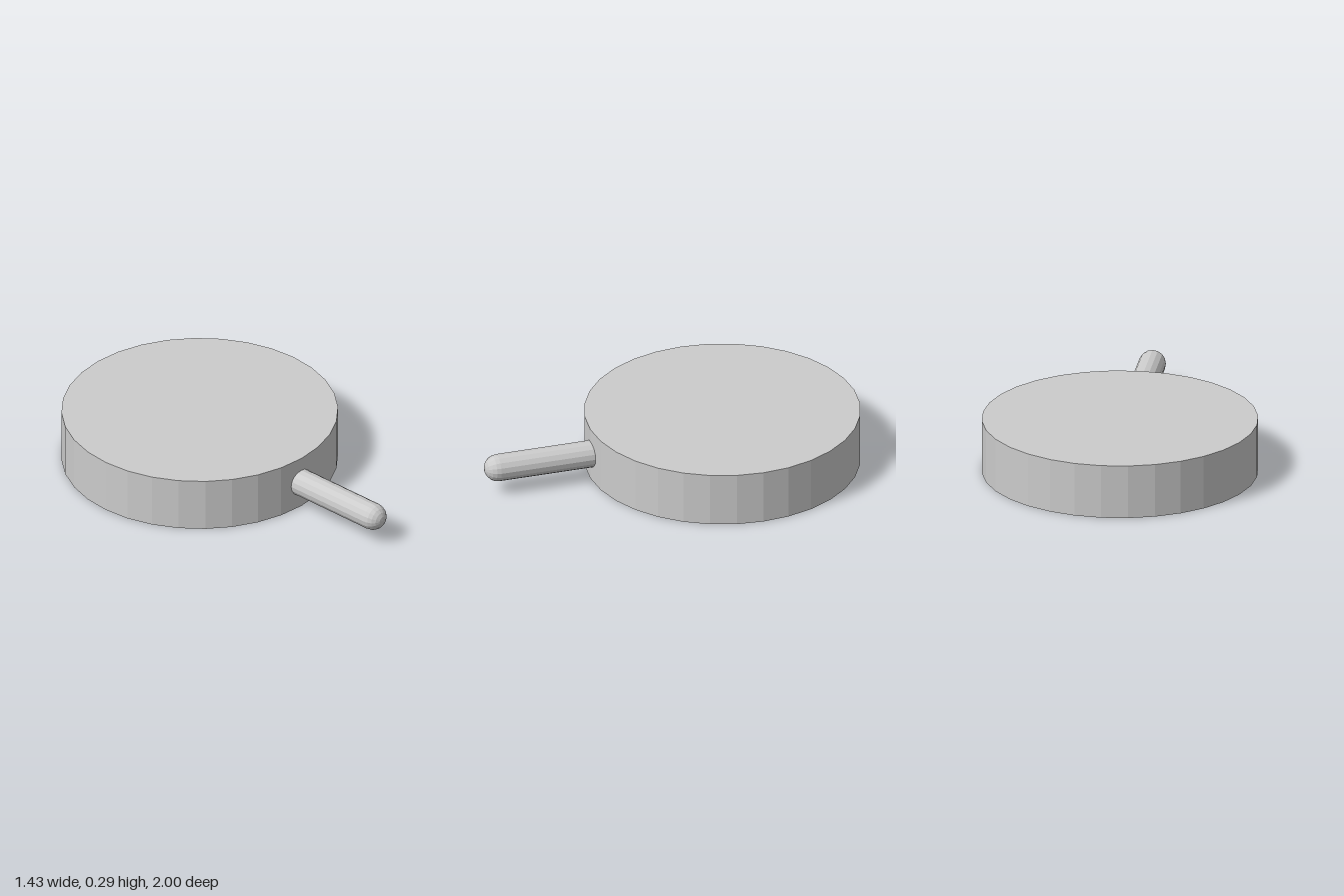
import * as THREE from 'three';

export function createModel() {
  const model = new THREE.Group();
  const material = new THREE.MeshStandardMaterial({ color: 0xcccccc, flatShading: true });

  // Thick round body, faceted round the rim
  const radius = 0.714, height = 0.286;
  const body = new THREE.Mesh(new THREE.CylinderGeometry(radius, radius, height, 32), material);
  body.name = 'body';
  body.position.set(0, height / 2, radius - 1);
  model.add(body);

  // Round handle with a domed end, set slightly into the rim
  const r = 0.071, tip = 1, root = 0.4, domeSteps = 5;
  const profile = [new THREE.Vector2(0, root), new THREE.Vector2(r, root)];
  for (let i = 0; i <= domeSteps; i++) {
    const a = (i / domeSteps) * Math.PI / 2;
    profile.push(new THREE.Vector2(i === domeSteps ? 0 : r * Math.cos(a), tip - r + r * Math.sin(a)));
  }
  const handle = new THREE.Mesh(new THREE.LatheGeometry(profile, 16), material);
  handle.name = 'handle';
  handle.rotation.x = Math.PI / 2;
  handle.position.y = height / 2;
  model.add(handle);

  return model;
}
